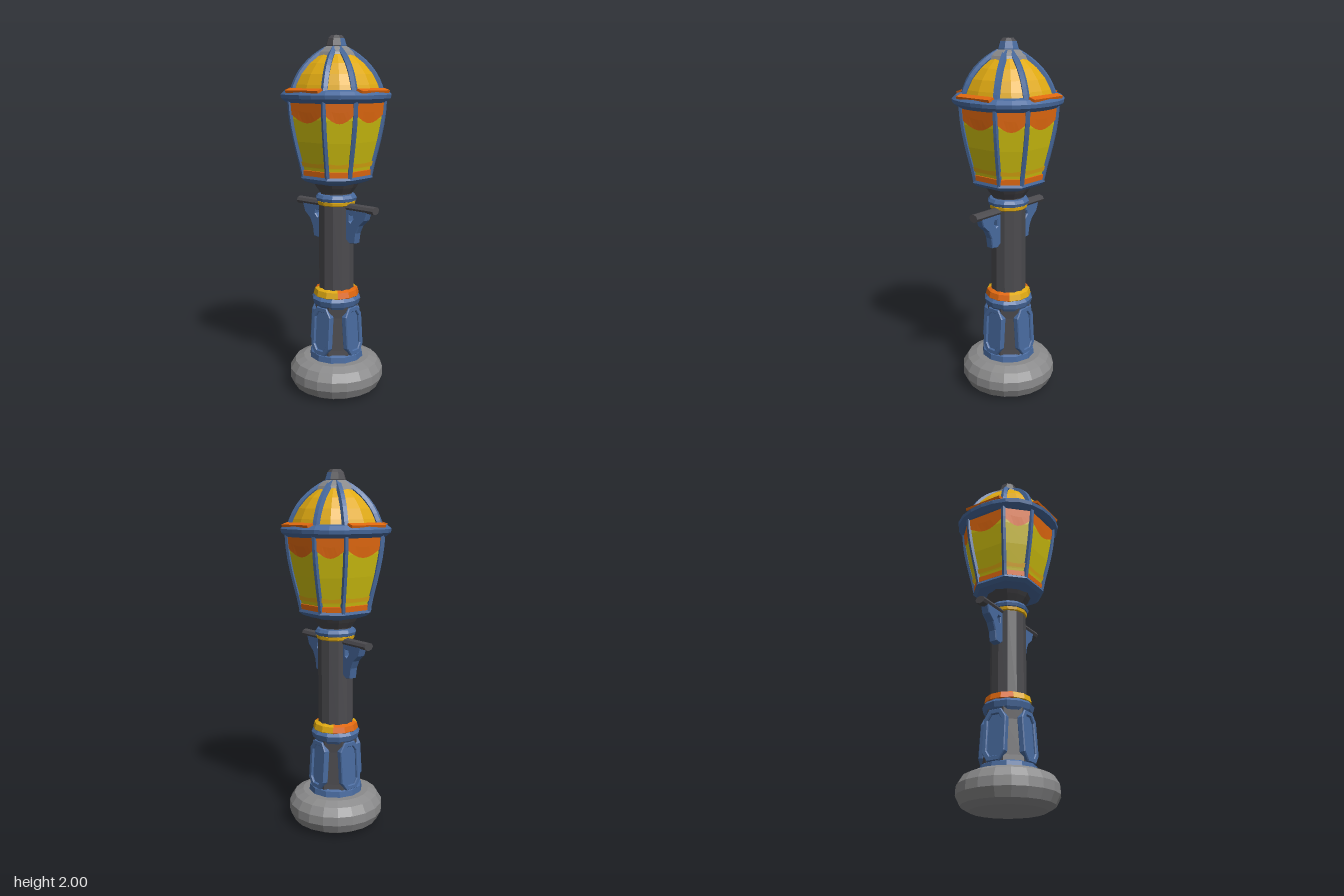
import * as THREE from 'three';

const mat = (name, color, side = THREE.FrontSide) => {
  const m = new THREE.MeshStandardMaterial({ color, side });
  m.name = name;
  return m;
};

export function createModel() {
  const blue = mat('blue metal', 0x486a9e);
  const iron = mat('dark iron', 0x4b4a4e);
  const stone = mat('grey stone', 0x8a8a8b);
  const amber = mat('amber', 0xe0aa12);
  const glass = mat('yellow glass', 0xd0c010);
  const orange = mat('orange trim', 0xe0680f, THREE.DoubleSide);
  const amberTrim = mat('amber trim', 0xe0aa12, THREE.DoubleSide);

  const model = new THREE.Group();
  const DEG = Math.PI / 180;

  // Faceted mesh
  const add = (name, geo, material, parent = model) => {
    const g = geo.index ? geo.toNonIndexed() : geo;
    g.computeVertexNormals();
    const mesh = new THREE.Mesh(g, material);
    mesh.name = name;
    parent.add(mesh);
    return mesh;
  };

  // Turned part; rule(phi, r) may reshape its plan
  const turn = (name, profile, sides, material, rule, start = 0, length = Math.PI * 2) => {
    const geo = new THREE.LatheGeometry(profile.map(p => new THREE.Vector2(...p)), sides, start, length);
    const pos = geo.attributes.position;
    if (rule) for (let i = 0; i < pos.count; i++) {
      const x = pos.getX(i), z = pos.getZ(i);
      const [phi, r] = rule(Math.atan2(x, z), Math.hypot(x, z));
      pos.setXYZ(i, r * Math.sin(phi), pos.getY(i), r * Math.cos(phi));
    }
    return add(name, geo, material);
  };
  const rounded = (phi, r) => [phi, r * (1 + 0.02 * (1 - Math.cos(4 * phi)))];
  const octagon = (phi, r) => [phi + 4.5 * DEG * Math.sin(4 * phi), r];
  const oct = (name, profile, material) => turn(name, profile, 8, material, octagon, 22.5 * DEG);

  // Foot and pedestal
  turn('foot', [[0, 0], [0.2, 0], [0.245, 0.025], [0.27, 0.075], [0.268, 0.125], [0.24, 0.17], [0.19, 0.192], [0, 0.195]], 20, stone);
  turn('pedestalBaseRing', [[0.12, 0.185], [0.155, 0.19], [0.15, 0.225], [0.12, 0.24]], 12, blue);
  turn('pedestal', [[0.145, 0.19], [0.137, 0.26], [0.126, 0.45], [0.13, 0.54]], 8, iron, null, 22.5 * DEG);
  turn('pedestalTopRing', [[0.12, 0.495], [0.132, 0.515], [0.14, 0.545], [0.122, 0.565]], 12, blue);

  // Oval pedestal panels with raised frames
  const oval = (path, w, h, c) => {
    path.moveTo(-w + c, -h).lineTo(w - c, -h).lineTo(w, -h + c * 1.5).lineTo(w, h - c * 1.5);
    path.lineTo(w - c, h).lineTo(-w + c, h).lineTo(-w, h - c * 1.5).lineTo(-w, -h + c * 1.5);
    path.closePath();
    return path;
  };
  const frameShape = oval(new THREE.Shape(), 0.064, 0.135, 0.03);
  frameShape.holes.push(oval(new THREE.Path(), 0.046, 0.115, 0.022));
  const bevel = { bevelEnabled: true, bevelThickness: 0.006, bevelSize: 0.004, bevelSegments: 1 };
  for (let i = 0; i < 4; i++) {
    const side = new THREE.Group();
    side.name = 'pedestalPanel';
    side.rotation.y = i * Math.PI / 2;
    model.add(side);
    const frame = add('panelFrame', new THREE.ExtrudeGeometry(frameShape, { depth: 0.025, ...bevel }), blue, side);
    const plate = add('panelPlate', new THREE.ExtrudeGeometry(oval(new THREE.Shape(), 0.05, 0.118, 0.022), { depth: 0.018, bevelEnabled: false }), blue, side);
    for (const m of [frame, plate]) {
      m.position.set(0, 0.365, 0.108);
      m.rotation.x = -0.07;
    }
  }

  // Collar: amber front and back, orange at the sides
  for (let i = 0; i < 4; i++) {
    turn('collar', [[0.118, 0.555], [0.13, 0.565], [0.122, 0.597], [0.095, 0.608]], 3,
      i % 2 ? orange : amber, null, (i * 90 - 45) * DEG, Math.PI / 2);
  }

  // Column and neck
  turn('column', [[0.1, 0.55], [0.099, 1.1]], 12, iron);
  turn('neckBand', [[0.095, 1.08], [0.106, 1.088], [0.108, 1.105], [0.095, 1.11]], 12, amber);
  turn('neckRing', [[0.09, 1.1], [0.112, 1.108], [0.117, 1.125], [0.105, 1.142], [0.08, 1.148]], 12, blue);
  turn('funnel', [[0.088, 1.12], [0.09, 1.15], [0.115, 1.185], [0.14, 1.225], [0, 1.23]], 12, iron);

  // Cross arms and curved brackets
  const bracket = new THREE.Shape();
  bracket.moveTo(0.09, 0.9).lineTo(0.115, 0.88).lineTo(0.15, 0.885).lineTo(0.158, 0.94);
  bracket.lineTo(0.18, 0.985).lineTo(0.22, 1.02).lineTo(0.235, 1.065).lineTo(0.09, 1.065).closePath();
  const gap = new THREE.Path();
  gap.moveTo(0.108, 1.0).lineTo(0.125, 0.99).lineTo(0.145, 1.015).lineTo(0.14, 1.04).lineTo(0.108, 1.04).closePath();
  bracket.holes.push(gap);
  for (const s of [0, 1]) {
    const arm = new THREE.Group();
    arm.name = s ? 'rightArm' : 'leftArm';
    arm.rotation.y = s * Math.PI;
    model.add(arm);
    const bar = add('armBar', new THREE.CylinderGeometry(0.03, 0.03, 0.2, 8), iron, arm);
    bar.rotation.set(0, 0, Math.PI / 2);
    bar.scale.set(0.75, 1, 1);
    bar.position.set(0.18, 1.077, 0);
    const geo = new THREE.ExtrudeGeometry(bracket, { depth: 0.035, ...bevel });
    geo.translate(0, 0, -0.0175);
    add('armBracket', geo, blue, arm);
  }

  // Lantern body: corner radius by height
  const walls = [[0.19, 1.25], [0.2, 1.3], [0.235, 1.44], [0.258, 1.56], [0.266, 1.66]];
  const wallRadius = y => {
    let i = 1;
    while (i < walls.length - 1 && y > walls[i][1]) i++;
    const [r0, y0] = walls[i - 1], [r1, y1] = walls[i];
    return r0 + (r1 - r0) * (y - y0) / (y1 - y0);
  };
  const cornerAngle = k => (22.5 + 45 * k + (k % 2 ? -4.5 : 4.5)) * DEG;
  const corner = (k, r, y) => new THREE.Vector3(r * Math.sin(cornerAngle(k)), y, r * Math.cos(cornerAngle(k)));
  oct('lanternBottomRim', [[0, 1.2], [0.135, 1.205], [0.185, 1.222], [0.206, 1.24], [0.2, 1.256], [0.17, 1.262]], blue);
  oct('lanternOrangeBand', [[0.18, 1.25], [0.201, 1.255], [0.203, 1.284], [0.18, 1.29]], orange);
  oct('lanternGlass', walls, glass);

  // Thin trim laid over one glass panel, between two height curves
  const trim = (name, k, low, high, material) => {
    const n = 8, pts = [], idx = [];
    for (let i = 0; i <= n; i++) for (let j = 0; j <= 2; j++) {
      const u = i / n, y = low(u) + (high(u) - low(u)) * j / 2, r = wallRadius(y) + 0.006;
      pts.push(...corner(k, r, y).lerp(corner(k + 1, r, y), u).toArray());
      if (i < n && j < 2) {
        const a = i * 3 + j;
        idx.push(a, a + 3, a + 1, a + 1, a + 3, a + 4);
      }
    }
    const geo = new THREE.BufferGeometry();
    geo.setAttribute('position', new THREE.Float32BufferAttribute(pts, 3));
    geo.setIndex(idx);
    add(name, geo, material);
  };

  // Ribs, scalloped valance and sill for each of the eight faces
  const domeProfile = [[0.245, 1.69], [0.228, 1.74], [0.2, 1.795], [0.155, 1.85], [0.1, 1.895], [0.05, 1.925]];
  for (let k = 0; k < 8; k++) {
    trim('valance', k, u => 1.592 - 0.05 * Math.sin(Math.PI * u), () => 1.655, orange);
    trim('sill', k, () => 1.305, u => 1.335 - 0.01 * Math.sin(Math.PI * u), amberTrim);
    const wallPath = new THREE.CatmullRomCurve3(walls.map(([r, y]) => corner(k, r, y)));
    add('wallRib', new THREE.TubeGeometry(wallPath, 6, 0.014, 5), blue);
    const domePath = new THREE.CatmullRomCurve3(domeProfile.map(([r, y]) => corner(k, r * 1.025, y)));
    add('domeRib', new THREE.TubeGeometry(domePath, 8, 0.019, 5), blue);
  }

  // Wide eave and dome
  turn('eave', [[0.235, 1.645], [0.262, 1.646], [0.288, 1.668], [0.291, 1.688], [0.27, 1.708], [0.235, 1.715]], 24, blue, rounded);
  for (let i = 0; i < 4; i++) {
    const strip = add('eaveStrip', new THREE.BoxGeometry(0.23, 0.014, 0.038), orange);
    strip.rotation.set(0.3, i * Math.PI / 2, 0, 'YXZ');
    strip.position.set(Math.sin(i * Math.PI / 2) * 0.257, 1.71, Math.cos(i * Math.PI / 2) * 0.257);
  }
  turn('dome', domeProfile, 16, amber, rounded);

  // Crown and finial, with one blue-painted side
  turn('crown', [[0.112, 1.888], [0.1, 1.91], [0.075, 1.93], [0.05, 1.945], [0, 1.95]], 8, stone, null, 22.5 * DEG);
  const finial = [[0.058, 1.925], [0.058, 1.945], [0.046, 1.982], [0.03, 1.998], [0, 2]];
  turn('finial', finial, 5, iron, null, -157.5 * DEG, 225 * DEG);
  turn('finialBlueSide', finial.slice(0, 3), 3, blue, null, 67.5 * DEG, 135 * DEG);
  turn('finialTop', finial.slice(2), 3, iron, null, 67.5 * DEG, 135 * DEG);

  return model;
}
